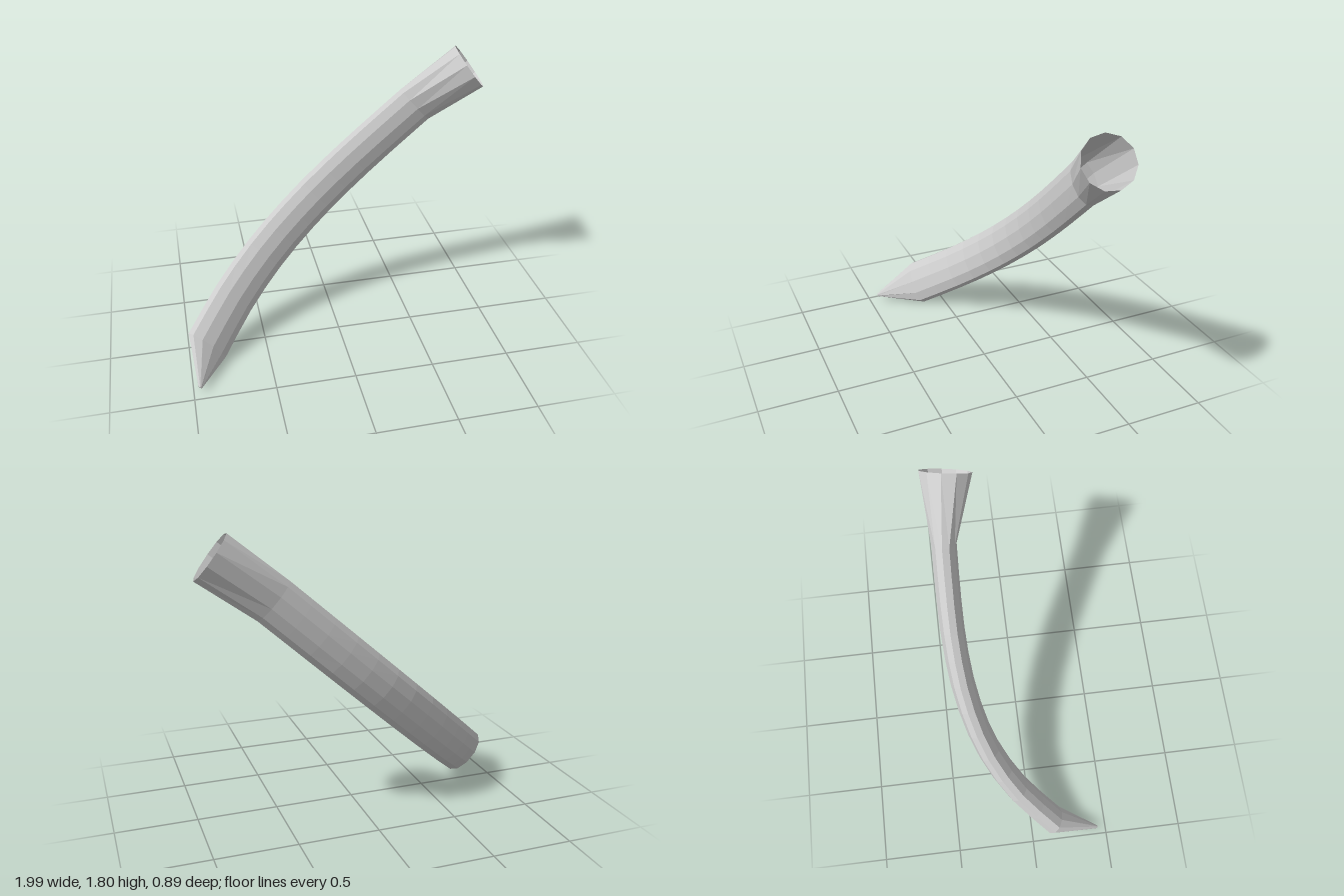
import * as THREE from 'three';

const SIDES = 11;
const BODY_STEPS = 12;
const v = (x, y, z) => new THREE.Vector3(x, y, z);

// Eleven-sided oval across the tangent: `wide` in the frontal plane, `thin` towards the inside of the bend
function ring(center, tangent, wide, thin) {
  const t = tangent.clone().normalize();
  const side = v(t.y, -t.x, 0).normalize();
  const inner = side.clone().cross(t).normalize();
  return Array.from({ length: SIDES }, (_, j) => {
    const a = (j / SIDES) * Math.PI * 2;
    return center.clone()
      .addScaledVector(inner, Math.cos(a) * thin)
      .addScaledVector(side, Math.sin(a) * wide);
  });
}

// Skin a list of rings, optionally closing the first one
function skin(rings, capStart) {
  const positions = rings.flat().flatMap((p) => [p.x, p.y, p.z]);
  const index = [];
  for (let i = 0; i < rings.length - 1; i++) {
    for (let j = 0; j < SIDES; j++) {
      const k = (j + 1) % SIDES;
      const a = i * SIDES + j, b = i * SIDES + k;
      index.push(a, b, a + SIDES, b, b + SIDES, a + SIDES);
    }
  }
  if (capStart) for (let j = 1; j < SIDES - 1; j++) index.push(0, j + 1, j);
  const geometry = new THREE.BufferGeometry();
  geometry.setAttribute('position', new THREE.Float32BufferAttribute(positions, 3));
  geometry.setIndex(index);
  geometry.computeVertexNormals();
  return geometry;
}

export function createModel() {
  const group = new THREE.Group();
  group.name = 'curvedHorn';
  const material = new THREE.MeshStandardMaterial({
    color: 0xcccccc, flatShading: true, side: THREE.DoubleSide,
  });
  const add = (name, rings, capStart = false) => {
    const mesh = new THREE.Mesh(skin(rings, capStart), material);
    mesh.name = name;
    group.add(mesh);
  };

  // Centre line bends in one slanted plane: height and depth, x follows height
  const path = new THREE.CatmullRomCurve3([
    [0.125, 0.15], [0.3, -0.06], [0.45, -0.185], [0.6, -0.27],
    [0.8, -0.335], [1.0, -0.362], [1.2, -0.364], [1.43, -0.352],
  ].map(([y, z]) => v(-0.885 + (y - 0.125) / 0.894, y, z)));

  // Flattened oval body
  const body = [];
  for (let i = 0; i <= BODY_STEPS; i++) {
    const f = i / BODY_STEPS;
    body.push(ring(path.getPointAt(f), path.getTangentAt(f), 0.155 - 0.013 * f, 0.075));
  }
  add('body', body);

  // Blunt point at the lower end
  const tip = ring(v(-0.96, 0.042, 0.437), path.getTangentAt(0), 0.012, 0.012);
  add('tip', [tip, body[0]], true);

  // Open mouth flaring to a round rim
  const rimCenter = v(0.9, 1.68, -0.295);
  const rimDirection = rimCenter.clone().sub(path.getPointAt(1));
  add('mouth', [body[BODY_STEPS], ring(rimCenter, rimDirection, 0.156, 0.156)]);

  return group;
}
